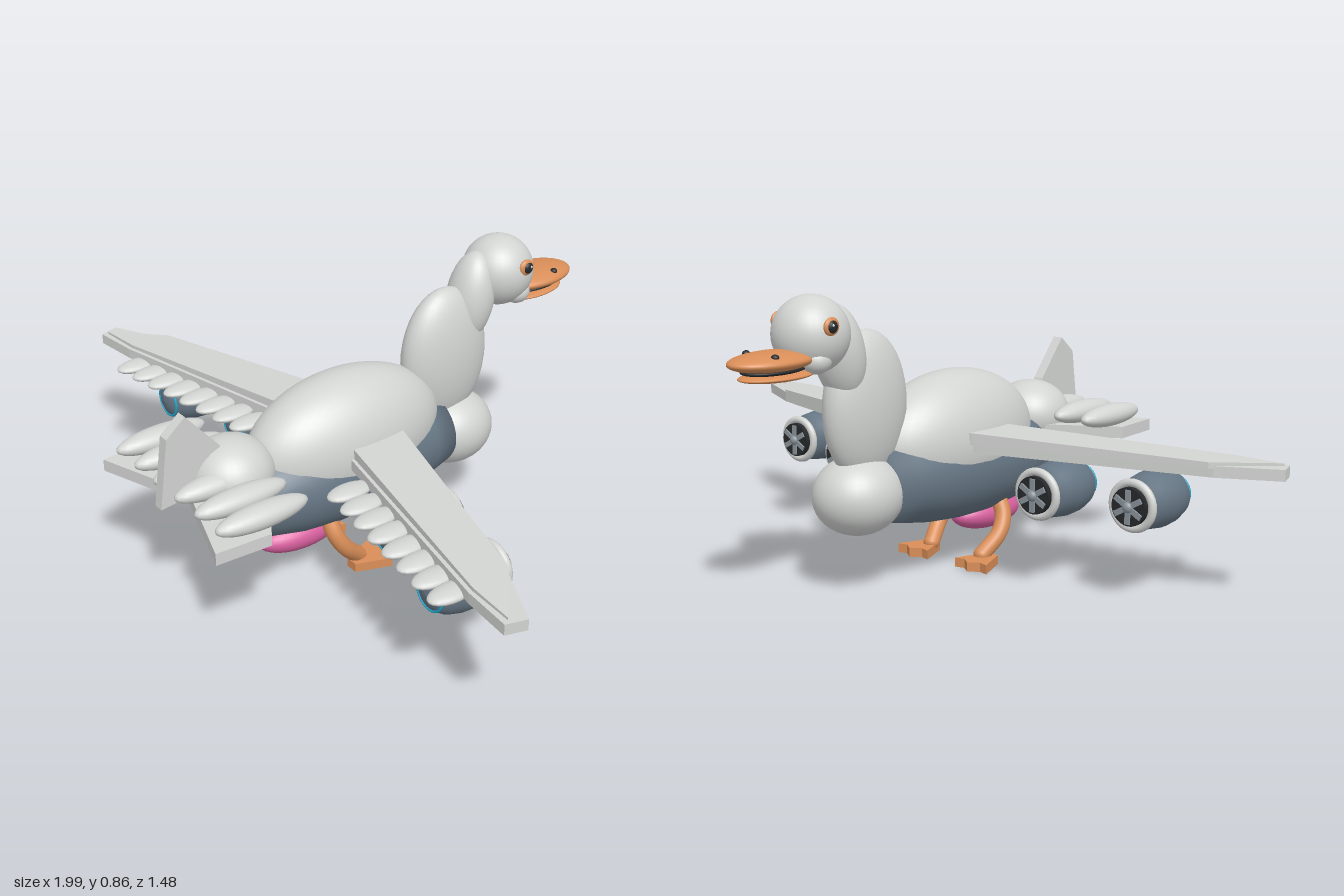
import * as THREE from 'three';

const mat = (name, color) => {
  const m = new THREE.MeshStandardMaterial({ color });
  m.name = name;
  return m;
};

export function createModel() {
  const white = mat('plumage white', 0xd2d4d2);
  const slate = mat('slate belly', 0x667684);
  const orange = mat('bill orange', 0xd98e58);
  const pink = mat('pink', 0xd8609f);
  const cyan = mat('exhaust cyan', 0x22a6cc);
  const dark = mat('dark', 0x26282b);
  const steel = mat('fan steel', 0x8b949b);

  const model = new THREE.Group();
  model.name = 'duckAirplane';

  const add = (name, geo, material, pos = [0, 0, 0], parent = model) => {
    const mesh = new THREE.Mesh(geo, material);
    mesh.name = name;
    mesh.position.set(...pos);
    parent.add(mesh);
    return mesh;
  };
  // Ellipsoid given by centre and radii
  const blob = (name, material, pos, radii, parent = model, seg = 32) =>
    add(name, new THREE.SphereGeometry(1, seg, Math.round(seg * 0.7)).scale(...radii), material, pos, parent);
  // Flat plate from an [x, z] outline between two heights
  const slab = (name, outline, y0, y1, material, parent = model) => {
    const shape = new THREE.Shape(outline.map(([x, z]) => new THREE.Vector2(x, -z)));
    const geo = new THREE.ExtrudeGeometry(shape, { depth: y1 - y0, bevelEnabled: false });
    geo.rotateX(-Math.PI / 2).translate(0, y0, 0);
    return add(name, geo, material, [0, 0, 0], parent);
  };
  // Turned shape along z from [radius, z] pairs
  const turned = (profile, seg = 32) =>
    new THREE.LatheGeometry(profile.map(([r, z]) => new THREE.Vector2(r, z)), seg).rotateX(Math.PI / 2);

  // Fuselage
  blob('back', white, [0, 0.385, 0.115], [0.163, 0.203, 0.325], model, 48);
  const belly = turned([
    [0, -0.222], [0.112, -0.22], [0.132, -0.14], [0.152, -0.03], [0.162, 0.08], [0.163, 0.2],
    [0.152, 0.32], [0.13, 0.42], [0.1, 0.49], [0.06, 0.535], [0, 0.555],
  ], 48);
  belly.scale(1, 0.96, 1);
  add('belly', belly, slate, [0, 0.296, 0]);
  blob('breast', white, [0, 0.28, -0.285], [0.125, 0.114, 0.137]);
  blob('rump', white, [0, 0.4, 0.5], [0.122, 0.105, 0.125]);
  blob('underPouch', pink, [0, 0.125, 0.28], [0.07, 0.052, 0.142]);

  // Neck and head
  blob('lowerNeck', white, [0, 0.53, -0.255], [0.078, 0.215, 0.15]);
  blob('upperNeck', white, [0, 0.69, -0.355], [0.075, 0.14, 0.07]).rotation.x = -0.2;
  const head = new THREE.Group();
  head.name = 'head';
  model.add(head);
  blob('skull', white, [0, 0.752, -0.46], [0.107, 0.107, 0.107], head);
  blob('upperBill', orange, [0, 0.697, -0.6], [0.085, 0.027, 0.14], head);
  blob('lowerBill', orange, [0, 0.656, -0.585], [0.07, 0.013, 0.122], head);
  blob('mouth', dark, [0, 0.673, -0.595], [0.06, 0.012, 0.105], head);
  for (const s of [-1, 1]) {
    blob('cheek', white, [s * 0.052, 0.69, -0.49], [0.04, 0.036, 0.042], head, 20);
    blob('nostril', dark, [s * 0.055, 0.715, -0.64], [0.011, 0.009, 0.011], head, 12);
    blob('iris', orange, [s * 0.1, 0.783, -0.482], [0.011, 0.025, 0.027], head, 20);
    blob('pupil', dark, [s * 0.107, 0.783, -0.484], [0.009, 0.017, 0.017], head, 16);
    blob('eyeGlint', white, [s * 0.115, 0.788, -0.489], [0.003, 0.004, 0.004], head, 10);
  }

  // Tail fin, drawn in the side plane and turned upright
  const finShape = new THREE.Shape([[0.5, 0.4], [0.73, 0.37], [0.7, 0.575], [0.64, 0.625], [0.54, 0.505]]
    .map(([z, y]) => new THREE.Vector2(-z, y)));
  const fin = new THREE.ExtrudeGeometry(finShape, { depth: 0.032, bevelEnabled: false });
  fin.translate(0, 0, -0.016).rotateY(Math.PI / 2);
  add('tailFin', fin, white);

  for (const s of [-1, 1]) {
    const side = s > 0 ? 'left' : 'right';

    // Tailplane with rounded feathers on top
    slab(side + 'Tailplane', [[0, 0.42], [0.1, 0.44], [0.305, 0.57], [0.295, 0.735], [0, 0.635]]
      .map(([x, z]) => [s * x, z]), 0.347, 0.383, white);
    for (const x of [0.055, 0.157, 0.258])
      blob(side + 'TailFeather', white, [s * x, 0.416, 0.567], [0.042, 0.034, 0.143], model, 24);

    // Wing: lower plate plus a thinner plate sloping to the tip
    const wing = new THREE.Group();
    wing.name = side + 'Wing';
    model.add(wing);
    slab('wingPlate', [[0.1, 0.02], [0.16, 0.03], [0.83, 0.222], [0.997, 0.308], [0.978, 0.368], [0.83, 0.352], [0.1, 0.19]]
      .map(([x, z]) => [s * x, z]), 0.37, 0.402, white, wing);
    const top = slab('wingTop', [[0.1, 0.005], [0.16, 0.018], [0.82, 0.212], [0.97, 0.35], [0.83, 0.34], [0.1, 0.18]]
      .map(([x, z]) => [s * x, z]), 0.395, 0.432, white, wing);
    const p = top.geometry.attributes.position;
    for (let i = 0; i < p.count; i++)
      if (p.getY(i) > 0.42) p.setY(i, 0.434 - 0.026 * Math.abs(p.getX(i)));
    top.geometry.computeVertexNormals();
    for (let i = 0; i < 8; i++)
      blob('wingFeather', white, [s * (0.245 + i * 0.075), 0.37, 0.275 + i * 0.0115], [0.038, 0.017, 0.072], wing, 20);

    // Engines
    for (const [x, z] of [[0.38, 0.15], [0.65, 0.22]]) {
      const engine = new THREE.Group();
      engine.name = side + 'Engine';
      engine.position.set(s * x, 0.283, z);
      model.add(engine);
      add('nacelle', turned([
        [0, -0.106], [0.062, -0.105], [0.075, -0.065], [0.082, -0.01], [0.079, 0.035],
        [0.068, 0.075], [0.05, 0.102], [0.025, 0.114], [0, 0.117],
      ]), slate, [0, 0, 0], engine);
      add('exhaustRing', new THREE.TorusGeometry(0.049, 0.004, 8, 32), cyan, [0, 0, 0.103], engine);
      add('intakeRim', new THREE.TorusGeometry(0.064, 0.012, 12, 32), white, [0, 0, -0.108], engine);
      add('fanDisc', new THREE.CylinderGeometry(0.054, 0.054, 0.02, 28).rotateX(Math.PI / 2), dark, [0, 0, -0.12], engine);
      for (let i = 0; i < 6; i++) {
        const blade = add('fanBlade', new THREE.BoxGeometry(0.016, 0.04, 0.006).translate(0, 0.028, 0), steel,
          [0, 0, -0.132], engine);
        blade.rotation.z = i * Math.PI / 3;
      }
      blob('fanHub', steel, [0, 0, -0.132], [0.016, 0.016, 0.014], engine, 16);
    }

    // Bent leg and webbed foot
    const leg = new THREE.CatmullRomCurve3([
      [0.085, 0.19, 0.235], [0.11, 0.14, 0.228], [0.118, 0.09, 0.2], [0.1, 0.03, 0.14],
    ].map(([x, y, z]) => new THREE.Vector3(s * x, y, z)));
    add(side + 'Leg', new THREE.TubeGeometry(leg, 20, 0.025, 14), orange);
    blob(side + 'Ankle', orange, [s * 0.1, 0.032, 0.14], [0.025, 0.022, 0.025], model, 16);
    slab(side + 'Foot', [
      [-0.02, 0.175], [0.02, 0.175], [0.06, 0.07], [0.03, 0.078], [0, 0.055], [-0.03, 0.078], [-0.06, 0.07],
    ].map(([x, z]) => [s * (0.115 + x), z]), 0, 0.028, orange);
  }
  return model;
}
